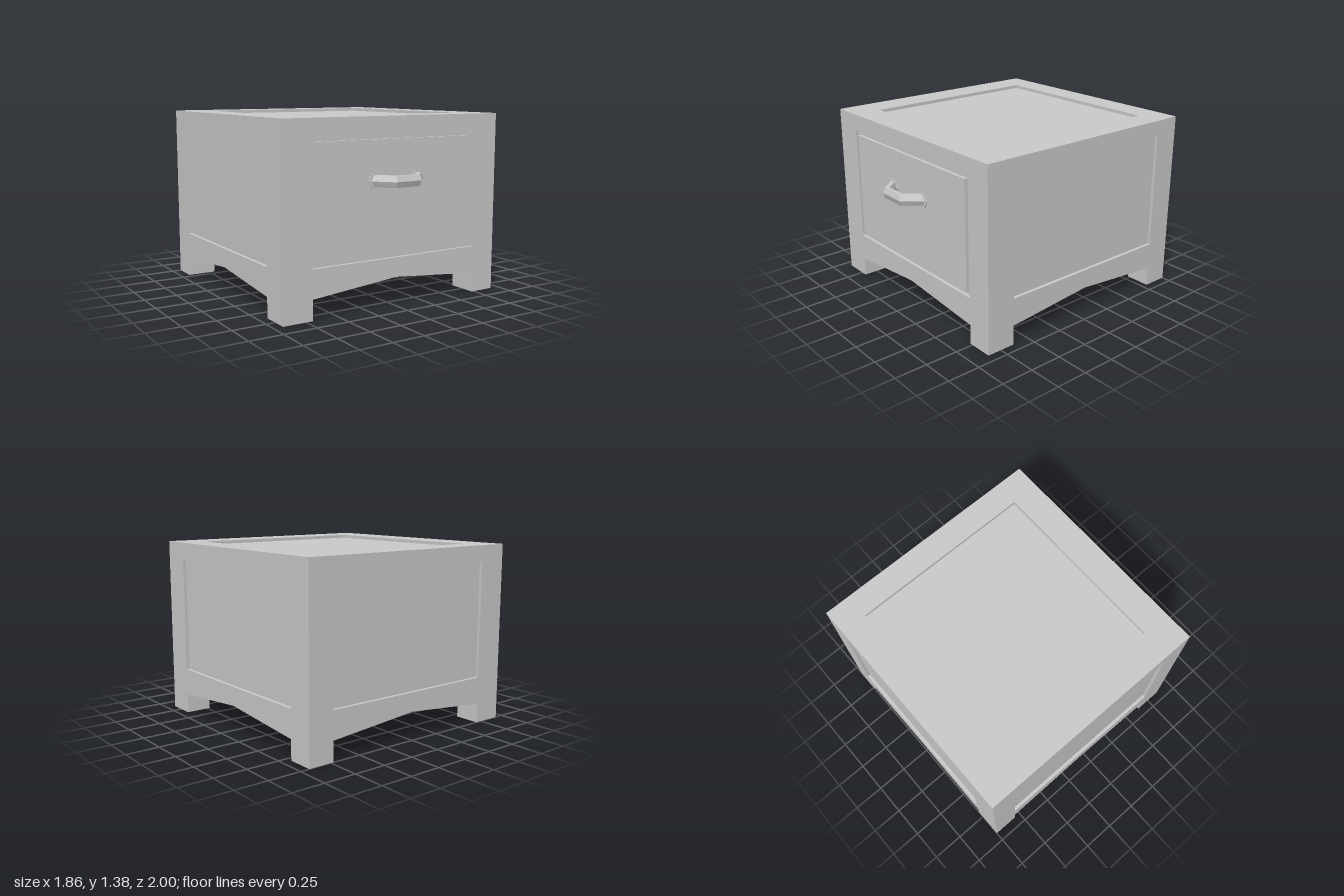
import * as THREE from 'three';

const material = new THREE.MeshStandardMaterial({ color: 0xcccccc, flatShading: true });
const X = [-0.93, -0.70, 0, 0.73, 0.93];   // leg edges and arch peak across the width
const Z = [-1, -0.80, -0.07, 0.635, 0.86]; // the same along the depth
const TOP = 1.375, LEG = 0.15, ARCH = 0.215, DEPTH = 0.025;

function addMesh(parent, name, geometry, x = 0, y = 0, z = 0) {
  const mesh = new THREE.Mesh(geometry, material);
  mesh.name = name;
  mesh.position.set(x, y, z);
  parent.add(mesh);
  return mesh;
}

// Flat-shaded geometry from four-cornered faces
function quads(list) {
  const pos = [];
  for (const [a, b, c, d] of list) for (const p of [a, b, c, a, c, d]) pos.push(...p);
  const g = new THREE.BufferGeometry();
  g.setAttribute('position', new THREE.Float32BufferAttribute(pos, 3));
  g.computeVertexNormals();
  return g;
}

// A framed face with a sunken panel; the outline lies in the local xy plane
function framedPanel(name, outline, [l, r, b, t]) {
  const group = new THREE.Group();
  group.name = name;
  const shape = new THREE.Shape(outline.map(p => new THREE.Vector2(...p)));
  const rim = [[l, b], [r, b], [r, t], [l, t]];
  shape.holes.push(new THREE.Path(rim.map(p => new THREE.Vector2(...p))));
  addMesh(group, name + 'Frame', new THREE.ShapeGeometry(shape));
  const outer = rim.map(p => [...p, 0]);
  const inner = rim.map(p => [...p, -DEPTH]);
  const faces = [inner];
  for (let i = 0; i < 4; i++) {
    const j = (i + 1) % 4;
    faces.push([outer[i], outer[j], inner[j], inner[i]]);
  }
  addMesh(group, name + 'Recess', quads(faces));
  return group;
}

// Side face with an arched lower edge between the legs
function sidePanel(name, [u0, u1, peak, u2, u3]) {
  const outline = [[u0, LEG], [u1, LEG], [peak, ARCH], [u2, LEG], [u3, LEG], [u3, TOP], [u0, TOP]];
  return framedPanel(name, outline, [u1, u2, 0.36, 1.25]);
}

function underside() {
  const point = (i, j) => [X[i], i === 2 || j === 2 ? ARCH : LEG, Z[j]];
  const faces = [];
  for (let i = 0; i < 4; i++) for (let j = 0; j < 4; j++) {
    if (i % 3 === 0 && j % 3 === 0) continue; // legs stand here
    faces.push([point(i, j), point(i + 1, j), point(i + 1, j + 1), point(i, j + 1)]);
  }
  return quads(faces);
}

// Six-sided bar lofted through four stations
function handleBar() {
  const y = 0.925, h = 0.042;
  const stations = [
    [0.235, 0.86, 0.14, 0.86], [0.11, 1, 0.075, 0.945],
    [-0.11, 1, -0.075, 0.945], [-0.235, 0.86, -0.14, 0.86],
  ];
  const section = [[0, 0], [0.25, h], [0.75, h], [1, 0], [0.75, -h], [0.25, -h]];
  const rings = stations.map(([ox, oz, ix, iz]) =>
    section.map(([f, dy]) => [ox + (ix - ox) * f, y + dy, oz + (iz - oz) * f]));
  const faces = [];
  for (let s = 0; s < 3; s++) for (let i = 0; i < 6; i++) {
    const j = (i + 1) % 6;
    faces.push([rings[s][i], rings[s][j], rings[s + 1][j], rings[s + 1][i]]);
  }
  return quads(faces);
}

export function createModel() {
  const model = new THREE.Group();
  model.name = 'nightstand';
  const flip = a => a.map(v => -v).reverse();

  // Four sides
  const front = sidePanel('front', X);
  front.position.z = Z[4];
  const back = sidePanel('back', flip(X));
  back.rotation.y = Math.PI;
  back.position.z = Z[0];
  const left = sidePanel('leftSide', flip(Z));
  left.rotation.y = Math.PI / 2;
  left.position.x = X[4];
  const right = sidePanel('rightSide', Z);
  right.rotation.y = -Math.PI / 2;
  right.position.x = X[0];

  // Top
  const v = flip(Z);
  const top = framedPanel('top',
    [[X[0], v[0]], [X[4], v[0]], [X[4], v[4]], [X[0], v[4]]], [X[1], X[3], v[1], v[3]]);
  top.rotation.x = -Math.PI / 2;
  top.position.y = TOP;
  model.add(front, back, left, right, top);

  // Underside and legs
  addMesh(model, 'underside', underside());
  for (const i of [0, 3]) for (const j of [0, 3]) {
    addMesh(model, 'leg', new THREE.BoxGeometry(X[i + 1] - X[i], LEG, Z[j + 1] - Z[j]),
      (X[i] + X[i + 1]) / 2, LEG / 2, (Z[j] + Z[j + 1]) / 2);
  }

  // Drawer front, flush with the frame
  addMesh(model, 'drawerFront', new THREE.BoxGeometry(1.355, 0.82, DEPTH),
    0.0125, 0.805, Z[4] - DEPTH / 2);

  // Handle with its two mounting plates
  const handle = new THREE.Group();
  handle.name = 'handle';
  addMesh(handle, 'handleBar', handleBar());
  for (const s of [-1, 1]) {
    const plate = new THREE.CylinderGeometry(1, 1, 0.006, 6).rotateY(Math.PI / 2)
      .rotateX(Math.PI / 2).scale(0.067, 0.065, 1);
    addMesh(handle, 'handlePlate', plate, s * 0.187, 0.925, 0.863);
  }
  model.add(handle);
  return model;
}
